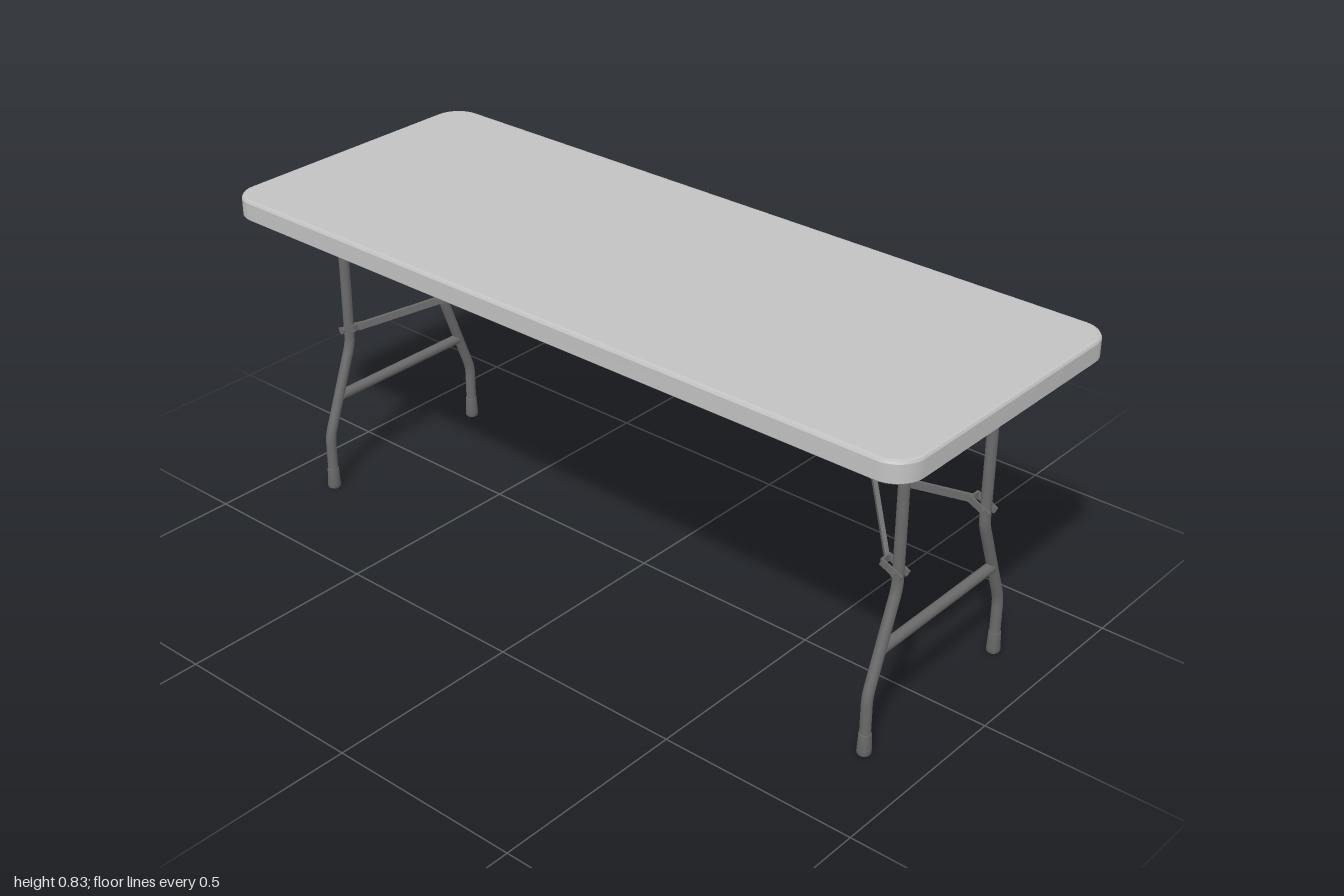
import * as THREE from 'three';
import { toCreasedNormals } from 'three/addons/utils/BufferGeometryUtils.js';

const V = (x, y, z) => new THREE.Vector3(x, y, z);

// Outline of a rounded rectangle, pulled in by an inset
function outline(inset, y, hx = 0.388, hz = 1, radius = 0.07, steps = 10) {
  const r = radius - inset, pts = [];
  [[1, 1], [-1, 1], [-1, -1], [1, -1]].forEach(([sx, sz], q) => {
    for (let i = 0; i <= steps; i++) {
      const a = (q + i / steps) * Math.PI / 2;
      pts.push(V(sx * (hx - radius) + r * Math.cos(a), y, sz * (hz - radius) + r * Math.sin(a)));
    }
  });
  return pts;
}

// Shell through [inset, y] rings, closed at the first and last ring
function shell(profile) {
  const rings = profile.map(([inset, y]) => outline(inset, y));
  const n = rings[0].length, pos = [];
  const tri = (...p) => p.forEach(v => pos.push(v.x, v.y, v.z));
  const last = rings.length - 1;
  const top = V(0, profile[0][1], 0), under = V(0, profile[last][1], 0);
  for (let i = 0; i < n; i++) {
    const j = (i + 1) % n;
    tri(top, rings[0][j], rings[0][i]);
    for (let k = 0; k < last; k++) {
      const a = rings[k], b = rings[k + 1];
      tri(a[i], a[j], b[j]);
      tri(a[i], b[j], b[i]);
    }
    tri(under, rings[last][i], rings[last][j]);
  }
  const g = new THREE.BufferGeometry();
  g.setAttribute('position', new THREE.Float32BufferAttribute(pos, 3));
  return toCreasedNormals(g, 0.22);
}

// Polyline path with rounded corners
function bentPath(pts, bend) {
  const path = new THREE.CurvePath();
  let from = pts[0];
  for (let i = 1; i < pts.length - 1; i++) {
    const p = pts[i];
    const a = p.clone().add(pts[i - 1].clone().sub(p).setLength(bend));
    const b = p.clone().add(pts[i + 1].clone().sub(p).setLength(bend));
    path.add(new THREE.LineCurve3(from, a));
    path.add(new THREE.QuadraticBezierCurve3(a, p, b));
    from = b;
  }
  path.add(new THREE.LineCurve3(from, pts[pts.length - 1]));
  return path;
}

export function createModel() {
  const model = new THREE.Group();
  model.name = 'foldingTable';
  const plastic = new THREE.MeshStandardMaterial({ color: 0xc2c2c2 });
  plastic.name = 'light grey plastic';
  const steel = new THREE.MeshStandardMaterial({ color: 0x6a6a6a });
  steel.name = 'dark grey steel';

  const add = (parent, name, geometry, material, x = 0, y = 0, z = 0) => {
    const m = new THREE.Mesh(geometry, material);
    m.name = name;
    m.position.set(x, y, z);
    parent.add(m);
    return m;
  };
  // Flat bar between two points
  const bar = (parent, name, a, b, w, h) => {
    const mid = a.clone().add(b).multiplyScalar(0.5);
    const m = add(parent, name, new THREE.BoxGeometry(w, h, a.distanceTo(b)), steel, mid.x, mid.y, mid.z);
    m.lookAt(b);
  };

  // Tabletop with a lip around the hollow underside
  add(model, 'tabletop', shell([
    [0.01, 0.833], [0.003, 0.831], [0, 0.826], [0, 0.783], [0.003, 0.78],
    [0.027, 0.78], [0.03, 0.783], [0.03, 0.812],
  ]), plastic);

  // Leg frame, foot and bolt shapes, shared by both ends
  const legZ = 0.855;
  const half = [V(0.254, 0.02, 0), V(0.254, 0.15, 0), V(0.166, 0.388, 0), V(0.166, 0.797, 0)];
  const whole = [...half, ...half.map(p => V(-p.x, p.y, 0)).reverse()];
  const legGeo = new THREE.TubeGeometry(bentPath(whole, 0.022), 240, 0.0132, 16);
  const footGeo = toCreasedNormals(new THREE.LatheGeometry([
    [0, 0], [0.0145, 0], [0.0168, 0.004], [0.0168, 0.01], [0.0145, 0.055], [0.012, 0.056],
  ].map(p => new THREE.Vector2(...p)), 20), 0.6);
  const boltGeo = new THREE.CylinderGeometry(0.006, 0.006, 0.042, 12);

  for (const side of [1, -1]) {
    const end = new THREE.Group();
    end.name = side > 0 ? 'frontLegAssembly' : 'backLegAssembly';
    add(end, 'legFrame', legGeo, steel, 0, 0, legZ);

    const rail = add(end, 'crossRail', new THREE.CylinderGeometry(0.0135, 0.0135, 0.42, 16), steel, 0, 0.253, legZ);
    rail.rotation.z = Math.PI / 2;

    // Channel plate holding the leg hinge
    add(end, 'hingePlate', new THREE.BoxGeometry(0.195, 0.026, 0.59), steel, 0, 0.8, 0.59);

    for (const s of [1, -1]) {
      add(end, 'foot', footGeo, steel, s * 0.254, 0, legZ);

      // Brace arm, with straight tabs gripping both sides of the leg
      bar(end, 'braceArm', V(0, 0.516, 0.665), V(s * 0.162, 0.444, 0.822), 0.01, 0.018);
      for (const off of [-0.0145, 0.0145]) {
        bar(end, 'braceTab', V(s * 0.167 + off, 0.446, 0.82), V(s * 0.167 + off, 0.422, 0.872), 0.004, 0.018);
      }
      bar(end, 'braceTabBridge', V(s * 0.167 - 0.0165, 0.445, 0.822), V(s * 0.167 + 0.0165, 0.445, 0.822), 0.005, 0.018);
      const bolt = add(end, 'braceBolt', boltGeo, steel, s * 0.168, 0.43, legZ);
      bolt.rotation.z = Math.PI / 2;
    }

    // Centre strut from the knuckle up to the plate
    bar(end, 'braceKnuckle', V(0, 0.514, 0.672), V(0, 0.531, 0.632), 0.02, 0.015);
    bar(end, 'braceStrut', V(0, 0.528, 0.638), V(0, 0.8, 0.348), 0.011, 0.014);

    if (side < 0) end.rotation.y = Math.PI;
    model.add(end);
  }
  return model;
}
